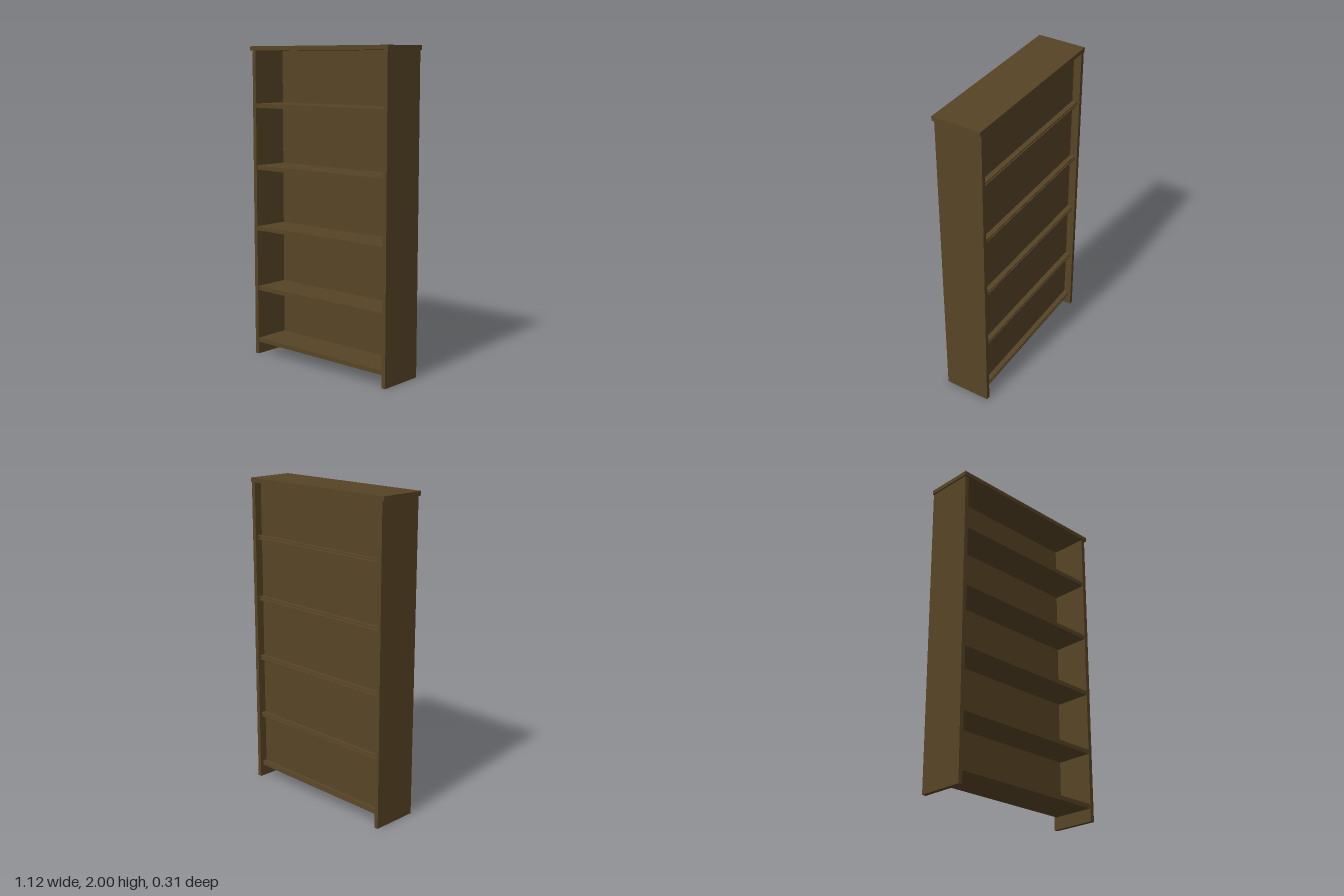
import * as THREE from 'three';

export function createModel() {
  const group = new THREE.Group();
  group.name = 'bookcase';
  const wood = new THREE.MeshStandardMaterial({ color: 0x574426 });
  wood.name = 'dark brown wood';

  // Box given by its lower and upper corners
  function board(name, [x0, y0, z0], [x1, y1, z1]) {
    const mesh = new THREE.Mesh(new THREE.BoxGeometry(x1 - x0, y1 - y0, z1 - z0), wood);
    mesh.position.set((x0 + x1) / 2, (y0 + y1) / 2, (z0 + z1) / 2);
    mesh.name = name;
    group.add(mesh);
  }

  const inner = 0.523, thick = 0.027, topY = 1.973;

  // Carcass: overhanging top, two sides, recessed back panel
  board('top', [-0.56, topY, -0.155], [0.56, 2, 0.155]);
  board('leftSide', [inner, 0, -0.155], [0.55, topY, 0.145]);
  board('rightSide', [-0.55, 0, -0.155], [-inner, topY, 0.145]);
  board('backPanel', [-inner, 0.08, -0.106], [inner, topY, -0.096]);

  // Shelf profile (depth, height) with a groove along the rear edge
  const front = 0.143, rear = -0.138, groove = -0.106;
  const profile = new THREE.Shape([
    [rear, 0], [front, 0], [front, thick], [rear, thick],
    [rear, 0.018], [groove, 0.018], [groove, 0.009], [rear, 0.009],
  ].map(([z, y]) => new THREE.Vector2(z, y)));
  const shelfGeometry = new THREE.ExtrudeGeometry(profile, { depth: inner * 2, bevelEnabled: false });
  shelfGeometry.translate(0, 0, -inner).rotateY(-Math.PI / 2);

  [0.08, 0.428, 0.824, 1.219, 1.614].forEach((y, i) => {
    const shelf = new THREE.Mesh(shelfGeometry, wood);
    shelf.position.y = y;
    shelf.name = `shelf${i + 1}`;
    group.add(shelf);
  });

  return group;
}
